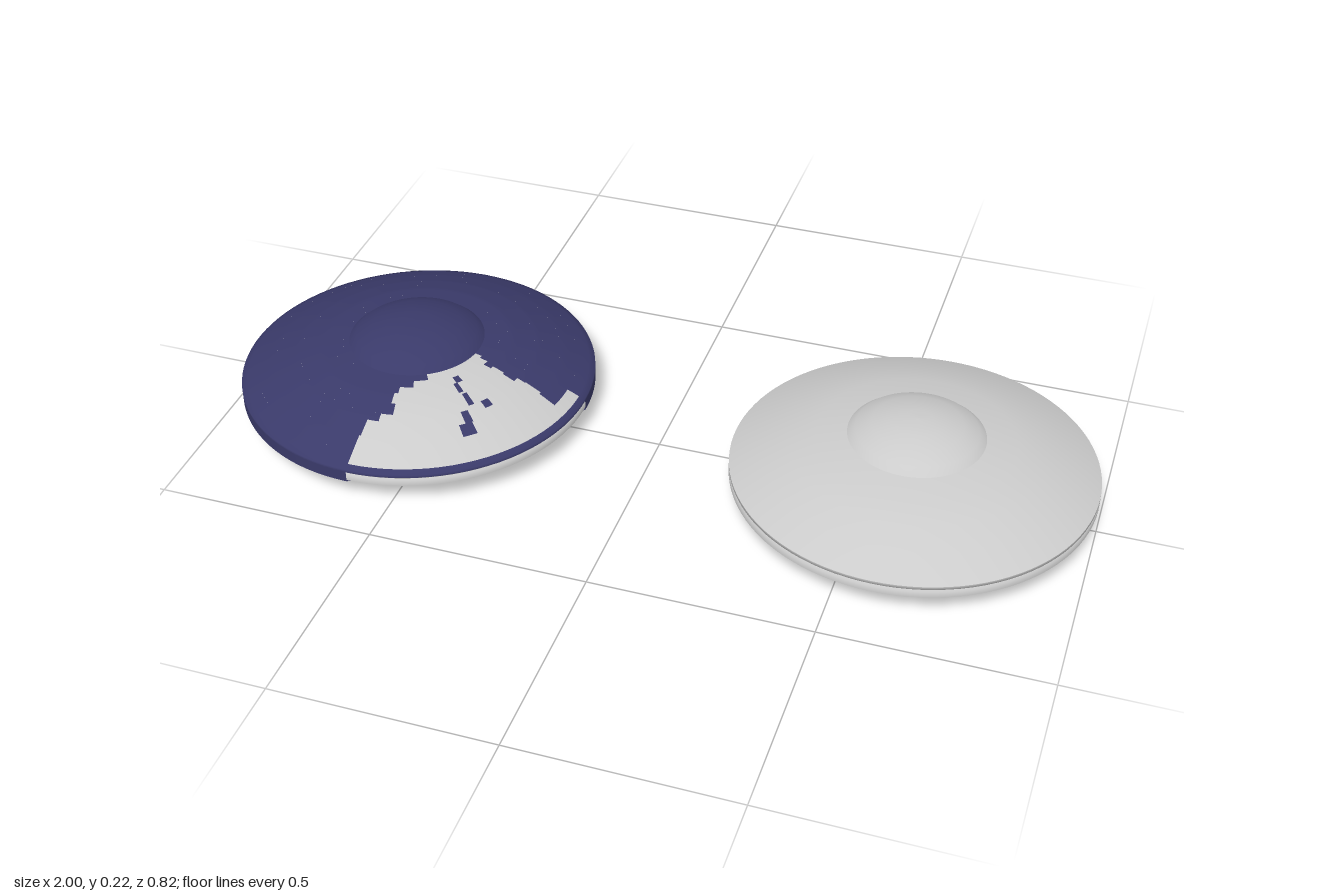
import * as THREE from 'three';

const GREY = 0xcccccc, BLUE = 0x3a3a6a, OLIVE = 0xb8ad7c, BLACK = 0x222222;

function mesh(parent, name, geometry, color = GREY) {
  const material = new THREE.MeshStandardMaterial({ color, side: THREE.DoubleSide });
  const m = new THREE.Mesh(geometry, material);
  m.name = name;
  parent.add(m);
  return m;
}

// Profiles run counter-clockwise (outwards below, inwards above) so faces point out
function lathe(points, start = 0, length = Math.PI * 2) {
  return new THREE.LatheGeometry(points.map(p => new THREE.Vector2(...p)), 96, start, length);
}

// Profiles as [radius, height]
const DOME = [[0.152, 0.17], [0.135, 0.185], [0.1, 0.2], [0.06, 0.21], [0.03, 0.214], [0, 0.215]];
const UPPER = [[0.408, 0.088], [0.39, 0.097], [0.34, 0.12], [0.28, 0.143], [0.22, 0.16], [0.15, 0.17]];
const RIM = [[[0.4, 0.077], [0.408, 0.081], [0.408, 0.088]], [[0.408, 0.06], [0.408, 0.074], [0.4, 0.077]]];
const BEVEL = [[0.372, 0.034], [0.408, 0.06]];
const CEILING = [[0.12, 0.1], [0.2, 0.083], [0.29, 0.06], [0.372, 0.034]];
const HUB = [[0, 0.018], [0.02, 0.023], [0.05, 0.039], [0.09, 0.066], [0.12, 0.1]];

// Vertical blade across the whole underside, lowest on both sides of the hub
function finGeometry() {
  const half = [[0, 0.02], [0.02, 0.02], [0.14, 0.001], [0.375, 0.036], [0.29, 0.062], [0.12, 0.101]];
  const left = half.slice(1).reverse().map(([x, y]) => [-x, y]);
  const shape = new THREE.Shape([...half, ...left].map(p => new THREE.Vector2(...p)));
  return new THREE.ExtrudeGeometry(shape, { depth: 0.018, bevelEnabled: false }).translate(0, 0, -0.009);
}

function saucer(name, underColor) {
  const g = new THREE.Group();
  g.name = name;
  mesh(g, 'dome', lathe(DOME));
  mesh(g, 'upperHull', lathe(UPPER));
  RIM.forEach(p => mesh(g, 'rim', lathe(p)));
  mesh(g, 'lowerBevel', lathe(BEVEL));
  mesh(g, 'underside', lathe(CEILING), underColor);
  mesh(g, 'hub', lathe(HUB), underColor);
  for (const a of [Math.PI / 4, -Math.PI / 4]) {
    mesh(g, 'fin', finGeometry(), underColor).rotation.y = a;
  }
  return g;
}

// Blue plating, with a ragged opening towards the front left
function addPlating(g) {
  const lift = 0.004;
  const raise = pts => pts.map(([r, y]) => [r, y + lift]);
  const plate = (pts, a, b) => mesh(g, 'plating', lathe(pts, b, Math.PI * 2 + a - b), BLUE);
  const cap = raise(DOME).map(([r, y]) => [r + 0.004 * (r > 0), y + 0.003]);
  mesh(g, 'domePlating', lathe(cap), BLUE);

  // Height of the upper hull at a radius
  const heightAt = r => {
    const i = UPPER.findIndex(p => p[0] <= r);
    if (i < 1) return UPPER[0][1];
    const [r0, y0] = UPPER[i - 1], [r1, y1] = UPPER[i];
    return y0 + (y1 - y0) * (r - r0) / (r1 - r0);
  };
  const band = (outer, inner, n = 4) => Array.from({ length: n + 1 }, (_, i) => {
    const r = outer + (inner - outer) * i / n;
    return [r, heightAt(r) + lift];
  });
  // [outer radius, inner radius, opening start, opening end]
  const bands = [
    [0.17, 0.15, 0.55, 1.45], [0.19, 0.17, 0.36, 1.4], [0.21, 0.19, 0.2, 1.32],
    [0.24, 0.21, 0.16, 1.36], [0.27, 0.24, 0.2, 1.34], [0.29, 0.27, 0.1, 1.39],
    [0.33, 0.29, 0.01, 1.4], [0.37, 0.33, 0, 1.38], [0.4, 0.37, 0, 1.56]
  ];
  bands.forEach(([o, i, a, b]) => plate(band(o, i), a, b));
  mesh(g, 'rimPlating', lathe([[0.411, 0.084], [0.411, 0.091], [0.398, 0.098]]), BLUE);
  plate([[0.375, 0.033], [0.411, 0.059]], 0, Math.PI / 2);
  plate([[0.411, 0.059], [0.411, 0.086]], 0, Math.PI / 2);

  // Loose strips left in the opening
  const strips = [[0.2, 0.18, 0.86, 0.08], [0.23, 0.2, 0.82, 0.05], [0.27, 0.235, 0.84, 0.05],
    [0.31, 0.28, 0.75, 0.06], [0.34, 0.31, 0.7, 0.1], [0.29, 0.27, 0.95, 0.07]];
  strips.forEach(([o, i, a, w]) => mesh(g, 'platingStrip', lathe(band(o, i, 2), a, w), BLUE));
}

// Landing pods, lamps and rings below the hull
function addUndersideDetail(g) {
  for (let i = 0; i < 4; i++) {
    const quarter = new THREE.Group();
    quarter.name = 'undersideQuarter';
    quarter.rotation.y = i * Math.PI / 2;
    g.add(quarter);
    mesh(quarter, 'pod', new THREE.SphereGeometry(0.047, 24, 16), OLIVE).position.set(0.25, 0.073, 0);
    mesh(quarter, 'podTip', new THREE.SphereGeometry(0.01, 12, 8)).position.set(0.25, 0.028, 0);
    for (const a of [-0.42, 0.42]) {
      mesh(quarter, 'lamp', new THREE.SphereGeometry(0.013, 12, 8))
        .position.set(0.29 * Math.cos(a), 0.058, 0.29 * Math.sin(a));
    }
  }
  [[0.13, 0.097], [0.147, 0.093], [0.164, 0.089]].forEach(([r, y]) => {
    const ring = mesh(g, 'undersideRing', new THREE.TorusGeometry(r, 0.003, 6, 64), BLACK);
    ring.rotation.x = Math.PI / 2;
    ring.position.y = y;
  });
}

export function createModel() {
  const model = new THREE.Group();
  model.name = 'saucerPair';
  const plated = saucer('platedSaucer', OLIVE);
  addPlating(plated);
  addUndersideDetail(plated);
  plated.position.x = -0.59;
  const plain = saucer('plainSaucer', GREY);
  plain.position.x = 0.59;
  model.add(plated, plain);
  return model;
}
